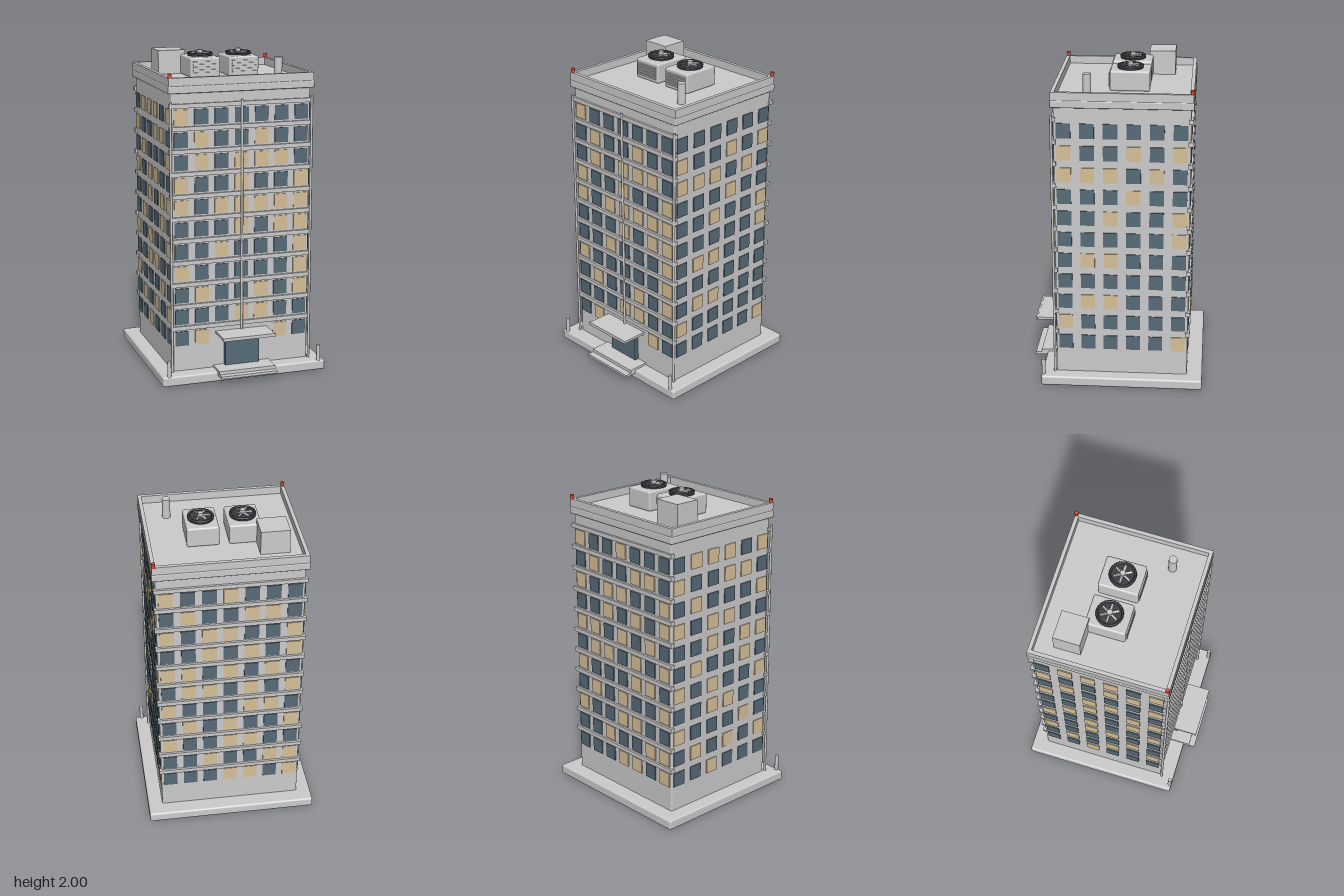
import * as THREE from 'three';
import { RoundedBoxGeometry } from 'three/addons/geometries/RoundedBoxGeometry.js';

const paint = (color) => new THREE.MeshStandardMaterial({ color });
const grey = paint(0xcccccc);
const glass = paint(0x566b77);
const lit = paint(0xd6c096);
const dark = paint(0x3a3b40);
const red = paint(0xe0452c);

const ZC = -0.037; // middle of the tower in z
const BODY = { w: 0.886, d: 0.82 };

function add(parent, name, geometry, material, x = 0, y = 0, z = 0) {
  const mesh = new THREE.Mesh(geometry, material);
  mesh.name = name;
  mesh.position.set(x, y, z);
  parent.add(mesh);
  return mesh;
}

// Box given by its extents; a radius rounds the edges
function box(parent, name, material, [x0, x1], [y0, y1], [z0, z1], r = 0) {
  const s = [x1 - x0, y1 - y0, z1 - z0];
  const geometry = r ? new RoundedBoxGeometry(...s, 2, r) : new THREE.BoxGeometry(...s);
  return add(parent, name, geometry, material, (x0 + x1) / 2, (y0 + y1) / 2, (z0 + z1) / 2);
}

// Upright cylinder between two heights
function post(parent, name, material, x, z, r, y0, y1, sides = 16) {
  return add(parent, name, new THREE.CylinderGeometry(r, r, y1 - y0, sides), material, x, (y0 + y1) / 2, z);
}

// Window patterns from the top floor down: L lit, d dark, . none
const FRONT = 'Ldddddd dLddLdd dLdLLLd LddLddL LdLLLLL dddLdLL ddLdddL LdddddL dLddLdL dddLLdd dL...Ld';
const RIGHT = 'dddddd LddLdL LLLdLd dddLdd ddLddL dddddL dLLddd dddddd dLLddd Lddddd dddddL';
const BACK = 'LddLddd dLddLLd LdLLddL ddLdLdL LLdLdLd dLLdLdL LdddLLd dLdLddL LddLLdd ddLddLL dddLLdL';
const LEFT = 'dLLLdL LddLLd dLdddL LdLLdd ddLdLL dLddLd LdLddL ddLLdd LdddLd dLdLdL ddLddd';

// One face of the tower, with its outside along local +z
function facade(name, pattern, spacing, banded) {
  const g = new THREE.Group();
  g.name = name;
  const pane = new THREE.BoxGeometry(0.087, 0.092, 0.02);
  const ledge = new THREE.BoxGeometry(0.91, 0.026, 0.028);
  pattern.split(' ').forEach((row, i) => {
    const y = 1.651 - i * 0.138;
    [...row].forEach((c, j) => {
      if (c === '.') return;
      const x = (j - (row.length - 1) / 2) * spacing;
      add(g, c === 'L' ? 'litWindow' : 'window', pane, c === 'L' ? lit : glass, x, y, -0.004);
    });
    if (banded) add(g, 'floorLedge', ledge, grey, 0, y + 0.069, 0);
  });
  return g;
}

// Rooftop cooling unit with louvres and a fan
function coolingUnit(x) {
  const g = new THREE.Group();
  g.name = 'coolingUnit';
  g.position.set(x, 0, -0.067);
  box(g, 'unitCase', grey, [-0.097, 0.097], [1.838, 1.963], [-0.123, 0.12], 0.012);
  for (let i = 0; i < 5; i++) {
    box(g, 'louvre', grey, [-0.08, 0.08], [1.862 + i * 0.017, 1.871 + i * 0.017], [0.11, 0.128]);
  }
  post(g, 'fanWell', dark, 0, 0, 0.078, 1.955, 1.974, 32);
  const ring = add(g, 'fanRing', new THREE.TorusGeometry(0.074, 0.007, 8, 32), dark, 0, 1.977, 0);
  ring.rotation.x = Math.PI / 2;
  const blade = new THREE.BoxGeometry(0.044, 0.005, 0.013);
  for (let i = 0; i < 6; i++) {
    const a = (i * Math.PI) / 3;
    const b = add(g, 'fanBlade', blade, grey, Math.cos(a) * 0.036, 1.981, -Math.sin(a) * 0.036);
    b.rotation.set(0.3, a, 0, 'YXZ');
  }
  post(g, 'fanHub', grey, 0, 0, 0.017, 1.97, 2.0);
  return g;
}

export function createModel() {
  const model = new THREE.Group();
  model.name = 'apartmentTower';

  // Plinth and tower
  box(model, 'plinth', grey, [-0.533, 0.533], [0, 0.063], [-0.543, 0.467], 0.012);
  box(model, 'towerBody', grey, [-BODY.w / 2, BODY.w / 2], [0.05, 1.8], [ZC - BODY.d / 2, ZC + BODY.d / 2], 0.01);

  // Four faces of windows
  [
    ['frontFacade', FRONT, 0.128, true, 0],
    ['leftFacade', RIGHT, 0.14, false, 1],
    ['backFacade', BACK, 0.128, true, 2],
    ['rightFacade', LEFT, 0.14, false, 3],
  ].forEach(([name, pattern, spacing, banded, turn]) => {
    const g = facade(name, pattern, spacing, banded);
    const a = (turn * Math.PI) / 2;
    g.position.set((Math.sin(a) * BODY.w) / 2, 0, ZC + (Math.cos(a) * BODY.d) / 2);
    g.rotation.y = a;
    model.add(g);
  });

  // Cornice slab and open parapet around the roof
  box(model, 'cornice', grey, [-0.464, 0.464], [1.795, 1.84], [ZC - 0.427, ZC + 0.427], 0.006);
  const frame = new THREE.Shape();
  const rect = (path, w, d) =>
    path.moveTo(-w, -d).lineTo(w, -d).lineTo(w, d).lineTo(-w, d).closePath();
  rect(frame, 0.461, 0.423);
  const opening = new THREE.Path();
  rect(opening, 0.438, 0.4);
  frame.holes.push(opening);
  const parapet = add(model, 'parapet',
    new THREE.ExtrudeGeometry(frame, { depth: 0.051, bevelEnabled: false }), grey, 0, 1.838, ZC);
  parapet.rotation.x = -Math.PI / 2;

  // Rooftop equipment
  box(model, 'stairHouse', grey, [-0.368, -0.192], [1.838, 1.99], [-0.33, -0.167]);
  model.add(coolingUnit(-0.126), coolingUnit(0.126));
  post(model, 'ventPipe', grey, 0.304, 0.182, 0.025, 1.838, 1.967, 20);
  for (const [x, z] of [[-0.45, 0.374], [0.45, -0.453]]) {
    post(model, 'warningLight', red, x, z, 0.012, 1.885, 1.914);
  }

  // Drainpipes and bollards
  for (const x of [-0.45, 0, 0.45]) {
    post(model, 'drainpipe', grey, x, 0.385, 0.008, x ? 0.06 : 0.29, 1.745, 10);
  }
  for (const x of [-0.491, 0.491]) {
    post(model, 'bollard', grey, x, 0.454, 0.012, 0.055, 0.163);
  }

  // Entrance with canopy and steps
  box(model, 'entranceDoor', glass, [-0.112, 0.112], [0.075, 0.25], [0.36, 0.4]);
  box(model, 'canopy', grey, [-0.168, 0.168], [0.282, 0.298], [0.36, 0.535]);
  box(model, 'canopyLip', grey, [-0.172, 0.172], [0.28, 0.3], [0.53, 0.54]);
  box(model, 'lowerStep', grey, [-0.183, 0.183], [0.04, 0.056], [0.4, 0.544]);
  box(model, 'upperStep', grey, [-0.183, 0.183], [0.056, 0.077], [0.36, 0.505]);

  return model;
}
